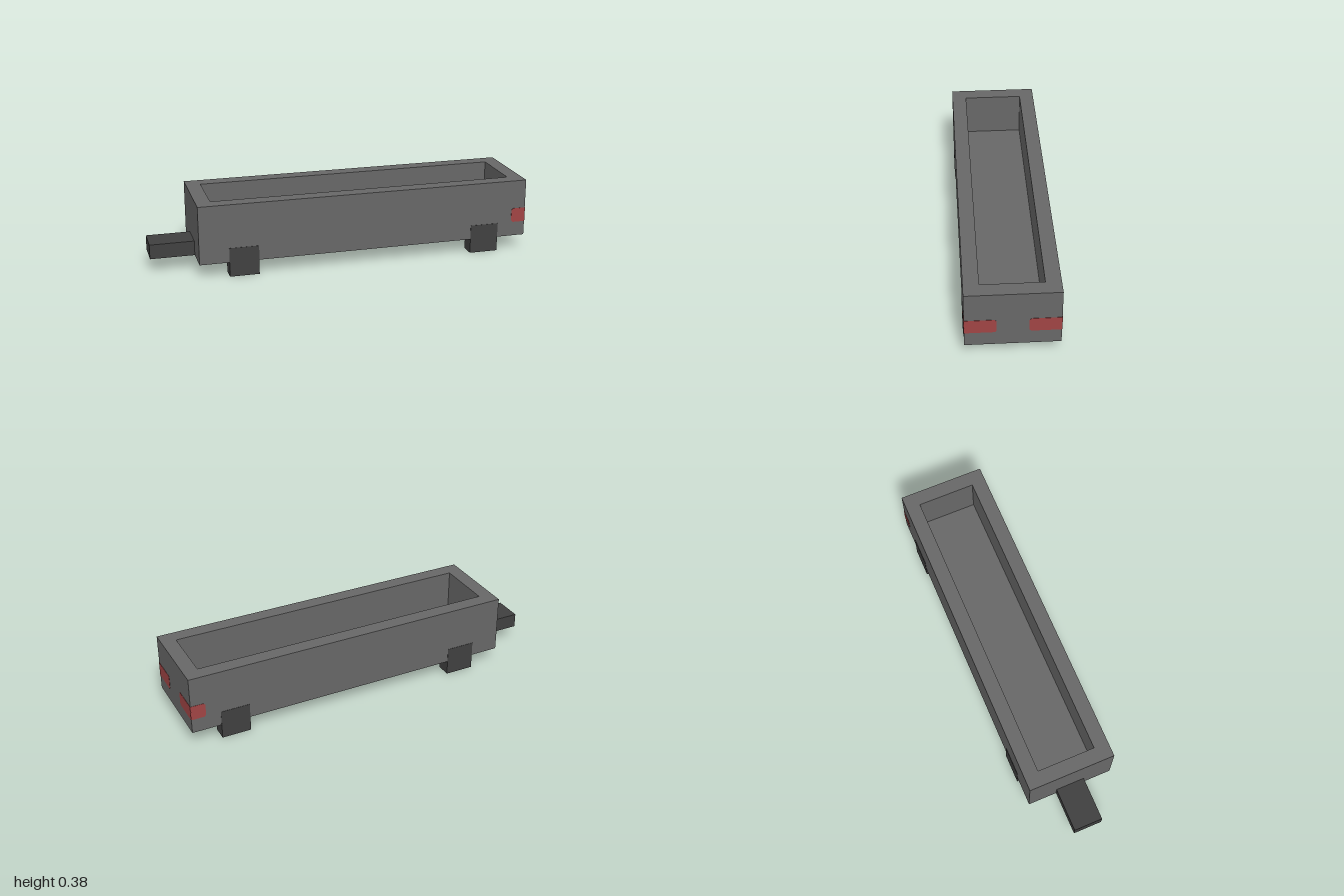
import * as THREE from 'three';

const U = 1 / 13; // grid unit all parts are sized from

export function createModel() {
  const root = new THREE.Group();
  const bodyGrey = new THREE.MeshStandardMaterial({ color: 0x676767 });
  const darkGrey = new THREE.MeshStandardMaterial({ color: 0x404040 });
  const lampRed = new THREE.MeshStandardMaterial({ color: 0xa04444 });

  const add = (name, geometry, material) => {
    const mesh = new THREE.Mesh(geometry, material);
    mesh.name = name;
    root.add(mesh);
    return mesh;
  };
  // box given by its two extreme corners, in grid units
  const box = (name, a, b, material) => {
    const size = a.map((v, i) => (b[i] - v) * U);
    const mesh = add(name, new THREE.BoxGeometry(...size), material);
    mesh.position.set(...a.map((v, i) => ((v + b[i]) / 2) * U));
    return mesh;
  };
  const rect = (path, x0, y0, x1, y1) => {
    path.moveTo(x0 * U, y0 * U);
    path.lineTo(x1 * U, y0 * U);
    path.lineTo(x1 * U, y1 * U);
    path.lineTo(x0 * U, y1 * U);
    path.closePath();
    return path;
  };

  // open trough: a rectangular rim extruded upward over a floor slab
  const rim = rect(new THREE.Shape(), -10, -3, 13, 3);
  rim.holes.push(rect(new THREE.Path(), -9, -2, 12, 2));
  const walls = new THREE.ExtrudeGeometry(rim, { depth: 4 * U, bevelEnabled: false });
  walls.rotateX(-Math.PI / 2).translate(0, U, 0);
  add('walls', walls, bodyGrey);
  box('floor', [-9, 1, -2], [12, 2, 2], bodyGrey);

  // drawbar
  box('drawbar', [-13, 1, -1], [-10, 2, 1], darkGrey);

  // wheels, standing a hair proud of the side walls
  const proud = 0.02;
  for (const x of [-8, 9]) {
    box('leftWheel', [x, 0, 2], [x + 2, 2, 3 + proud], darkGrey);
    box('rightWheel', [x, 0, -3 - proud], [x + 2, 2, -2], darkGrey);
  }

  // tail lamp plate: clipped corners at its inner end, square at the body corner
  const lampShape = (length) => {
    const c = 0.12 * U, w = length * U;
    const s = new THREE.Shape();
    s.moveTo(0, 0);
    s.lineTo(w - c, 0);
    s.lineTo(w, c);
    s.lineTo(w, U - c);
    s.lineTo(w - c, U);
    s.lineTo(0, U);
    s.closePath();
    return new THREE.ExtrudeGeometry(s, { depth: 0.004, bevelEnabled: false });
  };
  const inset = 0.0025; // most of each plate sits inside the wall
  for (const side of [1, -1]) {
    const end = lampShape(2);
    // run the plate along z, its face toward +x
    end.rotateY(Math.PI / 2);
    if (side < 0) end.rotateX(Math.PI).translate(0, U, 0);
    add('endLamp', end, lampRed).position.set(1 - inset, 2 * U, side * 3 * U);

    const flank = lampShape(1);
    // run the plate along -x, its face toward the flank
    flank.rotateY(Math.PI);
    if (side > 0) flank.translate(0, 0, 0.004);
    add('sideLamp', flank, lampRed).position.set(
      1, 2 * U, side > 0 ? 3 * U - inset : -3 * U + inset);
  }

  return root;
}
